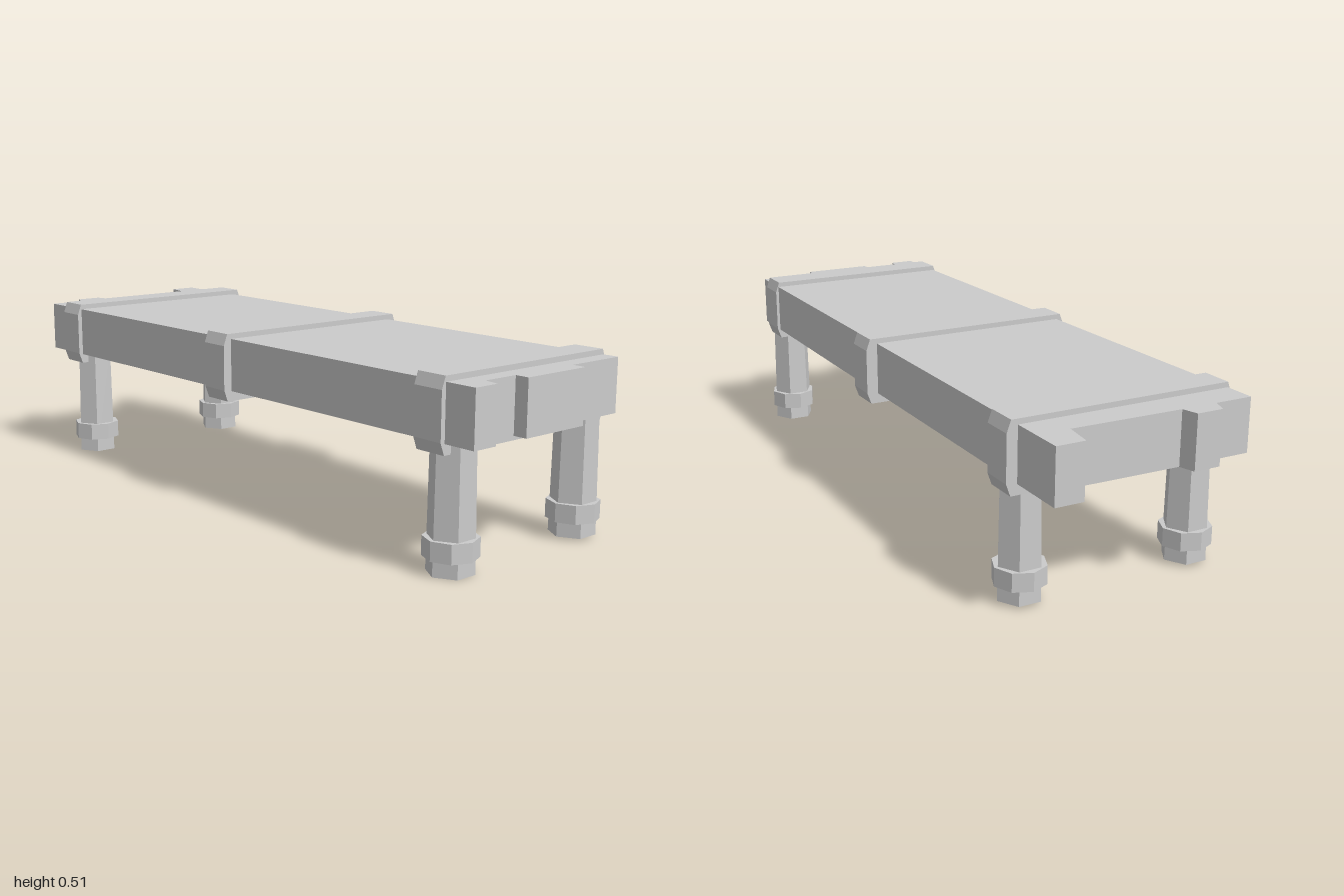
import * as THREE from 'three';

const material = new THREE.MeshStandardMaterial({ color: 0xcccccc, flatShading: true });

function add(parent, name, geometry, x = 0, y = 0, z = 0) {
  const mesh = new THREE.Mesh(geometry, material);
  mesh.name = name;
  mesh.position.set(x, y, z);
  parent.add(mesh);
  return mesh;
}

function extrude(points, depth) {
  const shape = new THREE.Shape(points.map(([x, y]) => new THREE.Vector2(x, y)));
  return new THREE.ExtrudeGeometry(shape, { depth, bevelEnabled: false });
}

export function createModel() {
  const group = new THREE.Group();
  group.name = 'plankBench';

  // Seat: plan outline (x, z) with broken, stepped plank ends
  const outline = [
    [-0.297, 1], [-0.222, 1], [-0.215, 0.955], [-0.107, 0.955], [-0.107, 0.995],
    [0.11, 0.995], [0.11, 0.955], [0.296, 0.955],
    [0.304, -1], [0.222, -1], [0.21, -0.914], [-0.11, -0.92], [-0.123, -0.965],
    [-0.2, -0.965], [-0.215, -0.92], [-0.325, -0.92],
  ];
  const seat = extrude(outline.map(([x, z]) => [x, -z]), 0.151);
  seat.rotateX(-Math.PI / 2);
  add(group, 'seat', seat, 0, 0.342, 0);

  // Bands wrapped round the seat, chamfered at the corners
  const bands = [
    ['frontBand', -0.312, 0.306, 0.815],
    ['middleBand', -0.336, 0.334, -0.016],
    ['backBand', -0.336, 0.334, -0.83],
  ];
  for (const [name, x0, x1, z] of bands) {
    const c = 0.012;
    add(group, name, extrude([
      [x0 + c, 0.313], [x1 - c, 0.313], [x1, 0.346], [x1, 0.475],
      [x1 - c, 0.508], [x0 + c, 0.508], [x0, 0.475], [x0, 0.346],
    ], 0.092), 0, 0, z);
  }

  // Legs: tapered hexagonal posts with octagonal collars
  const legs = [
    ['frontRightLeg', -0.235, 0.876, 0],
    ['frontLeftLeg', 0.237, 0.876, 0.007],
    ['backRightLeg', -0.26, -0.768, 0.008],
    ['backLeftLeg', 0.257, -0.768, 0.008],
  ];
  const top = 0.35;
  for (const [name, x, z, y] of legs) {
    const leg = new THREE.Group();
    leg.name = name;
    leg.position.set(x, y, z);
    const h = top - y;
    add(leg, 'post', new THREE.CylinderGeometry(0.059, 0.064, h, 6, 1, false, Math.PI / 6), 0, h / 2, 0);
    add(leg, 'collar', new THREE.CylinderGeometry(0.073, 0.073, 0.052, 8), 0, 0.068, 0);
    group.add(leg);
  }
  return group;
}
